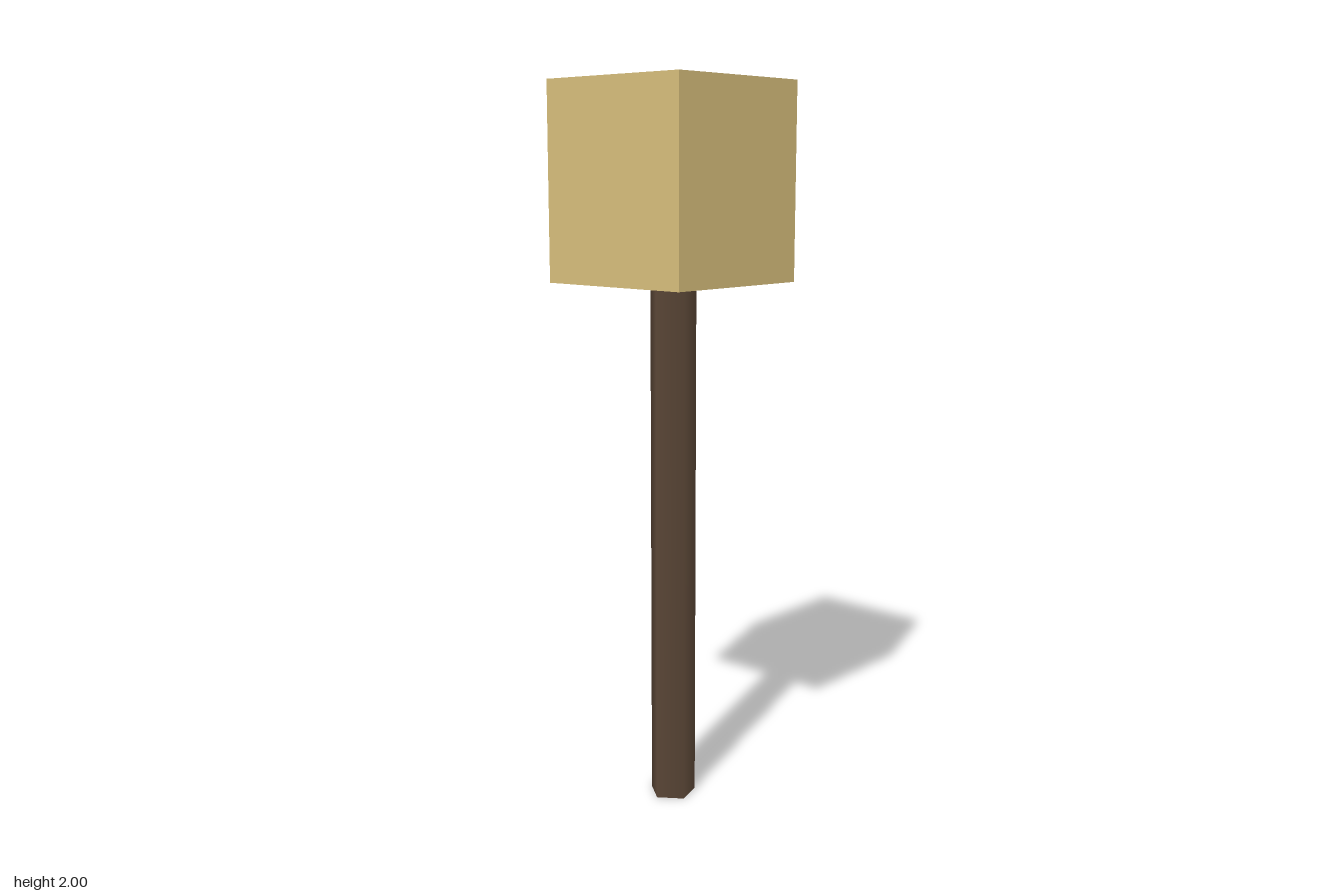
import * as THREE from 'three';

const HEAD_BOTTOM = 1.47;
const HEIGHT = 2;

function addPart(group, name, geometry, color, y) {
  const mesh = new THREE.Mesh(geometry, new THREE.MeshStandardMaterial({ color }));
  mesh.name = name;
  mesh.position.y = y;
  group.add(mesh);
}

export function createModel() {
  const model = new THREE.Group();
  model.name = 'postWithBlock';

  // Five-sided post with smooth sides, one corner facing the front
  addPart(model, 'post', new THREE.CylinderGeometry(0.066, 0.066, HEAD_BOTTOM, 5), 0x5a4636, HEAD_BOTTOM / 2);

  // Square block on top of the post
  const headHeight = HEIGHT - HEAD_BOTTOM;
  addPart(model, 'headBlock', new THREE.BoxGeometry(0.466, headHeight, 0.466), 0xd6bd7b, HEAD_BOTTOM + headHeight / 2);

  return model;
}
